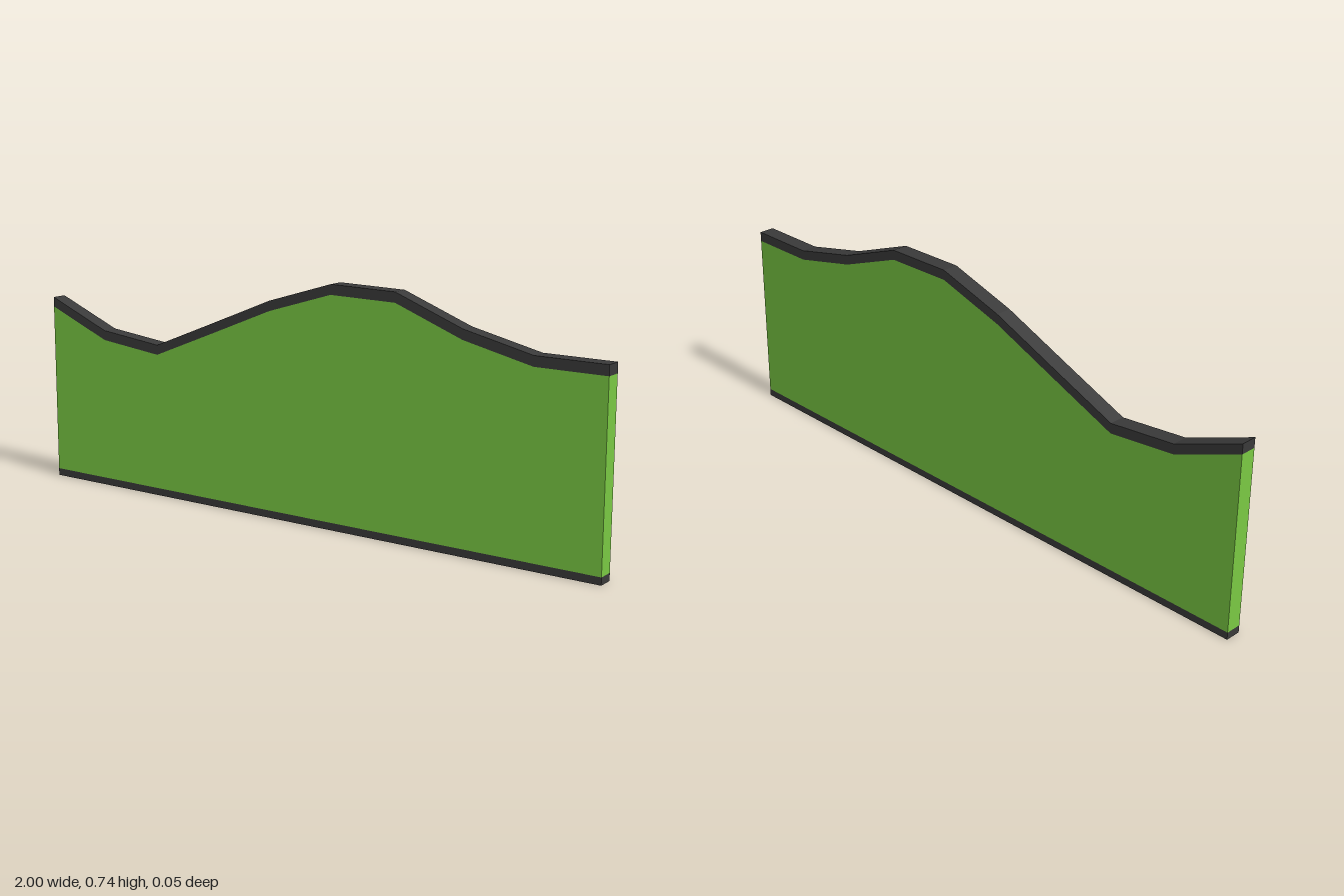
import * as THREE from 'three';

const DEPTH = 0.05;
const BASE = 0.023; // height of the bottom strip
const CAP = 0.031; // vertical thickness of the top strip
const HEIGHTS = [0.602, 0.513, 0.489, 0.579, 0.67, 0.738, 0.735, 0.652, 0.602, 0.602];

export function createModel() {
  const group = new THREE.Group();
  const green = new THREE.MeshStandardMaterial({ color: 0x7ac943, flatShading: true });
  const dark = new THREE.MeshStandardMaterial({ color: 0x3a3a3a, flatShading: true });

  // Wavy top outline, evenly spaced along x
  const top = HEIGHTS.map((y, i) => new THREE.Vector2(-1 + (2 * i) / (HEIGHTS.length - 1), y));
  const underCap = top.map((p) => new THREE.Vector2(p.x, p.y - CAP));
  const flat = (y) => [new THREE.Vector2(-1, y), new THREE.Vector2(1, y)];

  // Slab between a lower and an upper edge, both running left to right
  const addSlab = (name, lower, upper, material) => {
    const shape = new THREE.Shape([...lower, ...[...upper].reverse()]);
    const geometry = new THREE.ExtrudeGeometry(shape, { depth: DEPTH, bevelEnabled: false });
    geometry.translate(0, 0, -DEPTH / 2);
    const mesh = new THREE.Mesh(geometry, material);
    mesh.name = name;
    group.add(mesh);
  };

  addSlab('bottomStrip', flat(0), flat(BASE), dark);
  addSlab('panel', flat(BASE), underCap, green);
  addSlab('topStrip', underCap, top, dark);

  group.name = 'wavyWall';
  return group;
}
